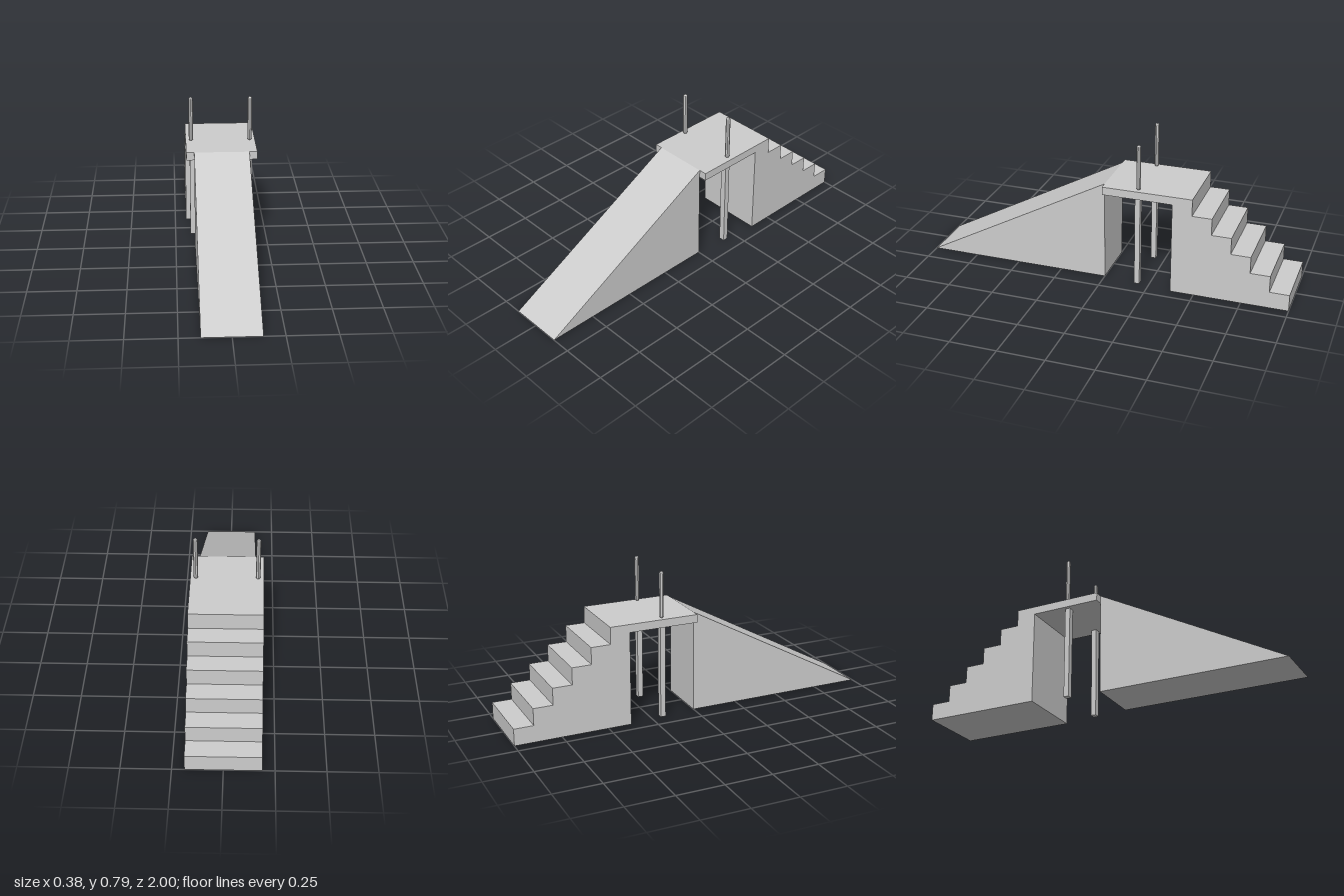
import * as THREE from 'three';

// Extrude a side profile of [z, y] points across x, centred on x = 0
function sideProfile(points, width) {
  const shape = new THREE.Shape(points.map(([z, y]) => new THREE.Vector2(z, y)));
  const geometry = new THREE.ExtrudeGeometry(shape, { depth: width, bevelEnabled: false });
  geometry.translate(0, 0, -width / 2);
  geometry.rotateY(-Math.PI / 2);
  return geometry;
}

export function createModel() {
  const group = new THREE.Group();
  const grey = new THREE.MeshStandardMaterial({ color: 0xcccccc, flatShading: true });
  grey.name = 'light grey';

  function add(name, geometry, x = 0, y = 0, z = 0) {
    const mesh = new THREE.Mesh(geometry, grey);
    mesh.name = name;
    mesh.position.set(x, y, z);
    group.add(mesh);
  }

  const top = 0.543;
  const deckBottom = 0.5;

  // Sloping ramp at the front
  add('ramp', sideProfile([[0, 0], [1, 0], [0, top]], 0.292));

  // Deck and staircase share one side profile
  const profile = [[0, deckBottom], [0, top]];
  const steps = 6;
  const rise = top / steps;
  const run = 0.52 / 5;
  for (let i = 0; i < steps; i++) {
    const z = -0.48 - i * run;
    profile.push([z, top - i * rise], [z, top - (i + 1) * rise]);
  }
  profile.push([-0.375, 0], [-0.375, deckBottom]);
  add('deckAndStairs', sideProfile(profile, 0.376));

  // Supports under the deck and rounded posts on top, on both sides
  const radius = 0.0118;
  const postHeight = 0.247;
  for (const side of [-1, 1]) {
    const label = side > 0 ? 'left' : 'right';
    add(label + 'Support', new THREE.BoxGeometry(0.032, deckBottom, 0.028),
      side * 0.151, deckBottom / 2, -0.185);
    add(label + 'Post', new THREE.CapsuleGeometry(radius, postHeight - 2 * radius, 3, 8),
      side * 0.159, top + postHeight / 2, -0.188);
  }
  return group;
}
